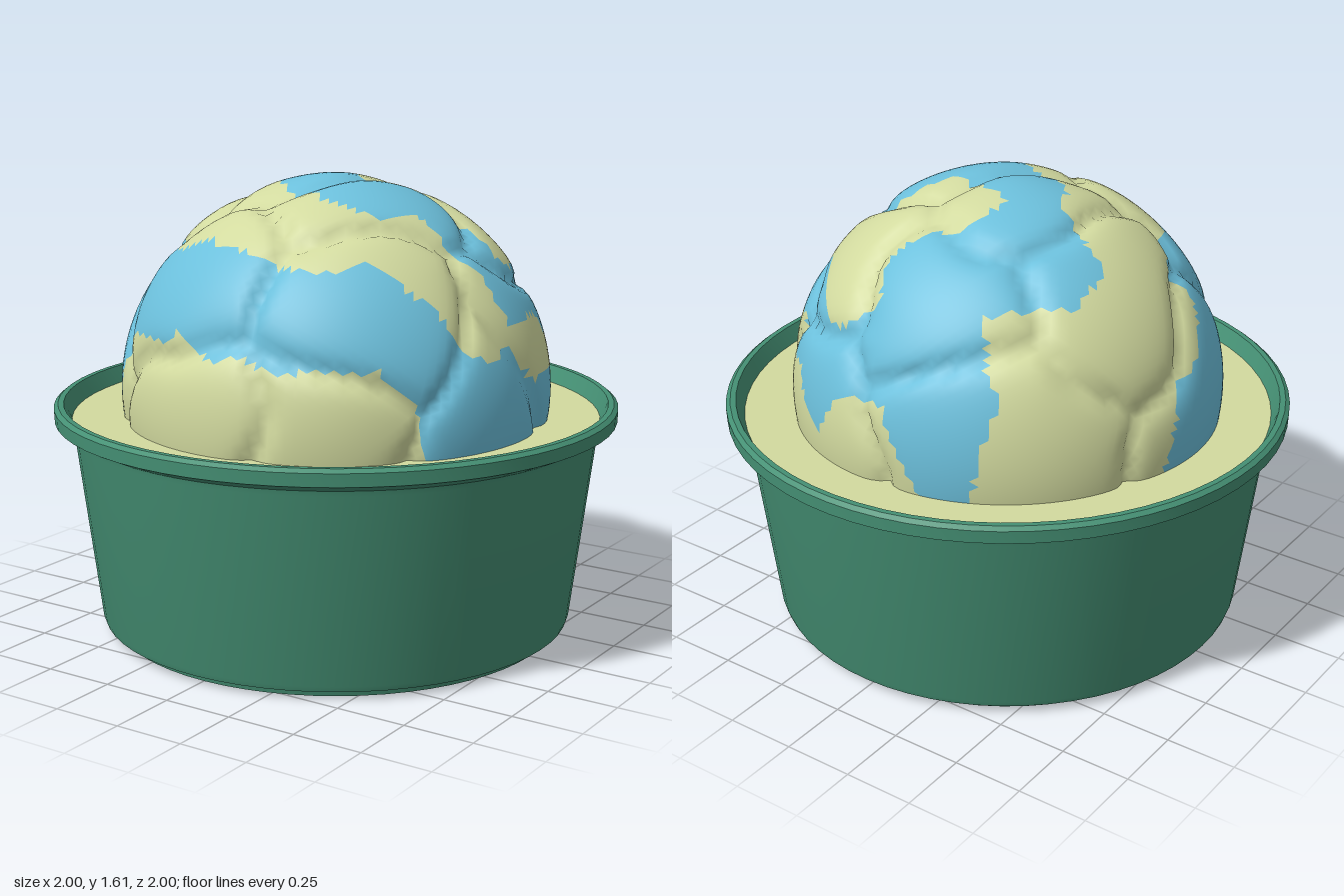
import * as THREE from 'three';
import { mergeVertices, toCreasedNormals } from 'three/addons/utils/BufferGeometryUtils.js';

const GREEN = 0x459074, CREAM = 0xd2da9f, BLUE = 0x6cc0dc;
const CENTRE = 0.85, RADIUS = 0.765, FILL = 0.765;

// Points on the scoop (x, y, z), turned into directions from its centre
const directions = (list) => list.map(([x, y, z]) => new THREE.Vector3(x, y - CENTRE, z).normalize());

// Middles of the soft lumps; creases run where two lumps meet
const lumps = directions([
  [-0.22, 1.25, 0.6], [0.48, 1.2, 0.5], [-0.1, 0.9, 0.75], [0.4, 0.9, 0.65],
  [-0.52, 1.4, -0.12], [0.2, 1.6, 0.05], [-0.1, 1.38, -0.53], [0.42, 1.4, -0.4],
  [0.7, 1.1, -0.2], [0.74, 0.9, 0.2], [0.4, 0.9, -0.65], [-0.35, 0.95, -0.68],
  [-0.72, 0.95, 0.2], [-0.05, 1.6, -0.1],
]);

// Middles of the flavour patches
const blues = directions([
  [-0.5, 1.25, 0.4], [-0.3, 1.25, 0.55], [0, 1.25, 0.62], [0.2, 1.22, 0.6], [0.4, 1.22, 0.5],
  [0.6, 1.1, 0.4], [0.7, 0.95, 0.3], [0.75, 0.9, 0.05], [0.74, 0.86, -0.2],
  [-0.7, 1.0, 0.25], [-0.73, 0.9, 0.1], [-0.2, 1.53, -0.25], [-0.36, 1.42, -0.36],
  [0, 1.6, -0.03], [0.25, 1.57, 0.12], [0.45, 1.45, -0.03], [0.65, 1.25, -0.12],
  [0.6, 1.2, -0.36], [0.48, 1.15, -0.52], [-0.1, 1.25, -0.6], [-0.22, 1.02, -0.7],
  [0.1, 1.15, -0.68], [0.3, 1.05, -0.66], [-0.05, 1.45, -0.48],
]);
const creams = directions([
  [-0.35, 0.92, 0.66], [-0.15, 0.94, 0.72], [0.1, 0.92, 0.75], [0.35, 0.9, 0.66], [0.5, 0.9, 0.56],
  [-0.62, 1.25, 0], [-0.4, 1.48, 0.1], [-0.25, 1.5, 0.28], [0, 1.5, 0.38], [0.22, 1.47, 0.36],
  [0.47, 1.42, 0.2], [0.64, 1.22, 0.15], [0.71, 1.06, -0.15], [0.62, 1.02, -0.42],
  [0.45, 0.88, -0.6], [0.1, 0.9, -0.75], [0.22, 1.5, -0.34], [0.42, 1.42, -0.28],
  [0.06, 1.58, -0.2], [0.3, 1.35, -0.49], [-0.6, 1.25, -0.28], [-0.5, 0.92, -0.54],
  [-0.68, 1.0, -0.3], [-0.45, 1.28, -0.45],
]);

const closest = (dir, seeds) => Math.max(...seeds.map((s) => s.dot(dir)));

// Slight waviness, so creases and patch edges wander
function wander(dir, amount) {
  const { x, y, z } = dir;
  return new THREE.Vector3(
    x + amount * Math.sin(9 * y + 4 * z),
    y + amount * Math.sin(8 * z + 5 * x),
    z + amount * Math.sin(9 * x + 4 * y)).normalize();
}

// Radius of the scoop in a direction: round lumps with narrow creases between
function scoopRadius(dir) {
  const d = wander(dir, 0.06);
  const angles = lumps.map((s) => s.angleTo(d)).sort((a, b) => a - b);
  const gap = angles[1] - angles[0];
  return RADIUS - 0.042 * Math.exp(-gap / 0.07) - 0.03 * angles[0] * angles[0];
}

function scoopGeometry() {
  let geometry = new THREE.IcosahedronGeometry(1, 26);
  geometry.deleteAttribute('normal');
  geometry.deleteAttribute('uv');
  geometry = mergeVertices(geometry);
  const position = geometry.attributes.position, v = new THREE.Vector3();
  for (let i = 0; i < position.count; i++) {
    v.fromBufferAttribute(position, i).normalize();
    v.multiplyScalar(scoopRadius(v));
    position.setXYZ(i, v.x, v.y, v.z);
  }
  geometry.computeVertexNormals();
  return geometry;
}

function part(name, geometry, color, side = THREE.FrontSide) {
  const mesh = new THREE.Mesh(geometry, new THREE.MeshStandardMaterial({ color, side }));
  mesh.name = name;
  return mesh;
}

function createScoop() {
  const scoop = new THREE.Group();
  scoop.name = 'scoop';
  const whole = scoopGeometry();
  const position = whole.attributes.position, index = whole.index;
  const faces = { blue: [], cream: [] };
  const v = new THREE.Vector3(), middle = new THREE.Vector3();
  // Sort the faces by flavour, leaving out those buried in the fill
  for (let i = 0; i < index.count; i += 3) {
    const corners = [0, 1, 2].map((k) => index.getX(i + k));
    middle.set(0, 0, 0);
    for (const c of corners) middle.add(v.fromBufferAttribute(position, c));
    if (middle.y / 3 + CENTRE < FILL - 0.06) continue;
    const d = wander(middle.normalize(), 0.02);
    faces[closest(d, blues) > closest(d, creams) ? 'blue' : 'cream'].push(...corners);
  }
  for (const [name, color] of [['blue', BLUE], ['cream', CREAM]]) {
    const geometry = whole.clone();
    geometry.setIndex(faces[name]);
    scoop.add(part(name + 'Swirl', geometry, color));
  }
  scoop.position.y = CENTRE;
  return scoop;
}

// Tapered tub with a foot step and a rolled rim
function createCup() {
  const profile = [
    [0, 0], [0.8, 0], [0.805, 0.02], [0.84, 0.03], [0.847, 0.05], [0.93, 0.715],
    [0.935, 0.735], [0.998, 0.765], [1, 0.81], [0.985, 0.822], [0.965, 0.822], [0.935, FILL - 0.005],
  ].map(([x, y]) => new THREE.Vector2(x, y));
  const geometry = toCreasedNormals(new THREE.LatheGeometry(profile, 64), 0.35);
  return part('cup', geometry, GREEN, THREE.DoubleSide);
}

export function createModel() {
  const model = new THREE.Group();
  model.name = 'iceCreamCup';
  const fill = part('fill', new THREE.CircleGeometry(0.937, 64), CREAM);
  fill.rotation.x = -Math.PI / 2;
  fill.position.y = FILL;
  model.add(createCup(), fill, createScoop());
  return model;
}
